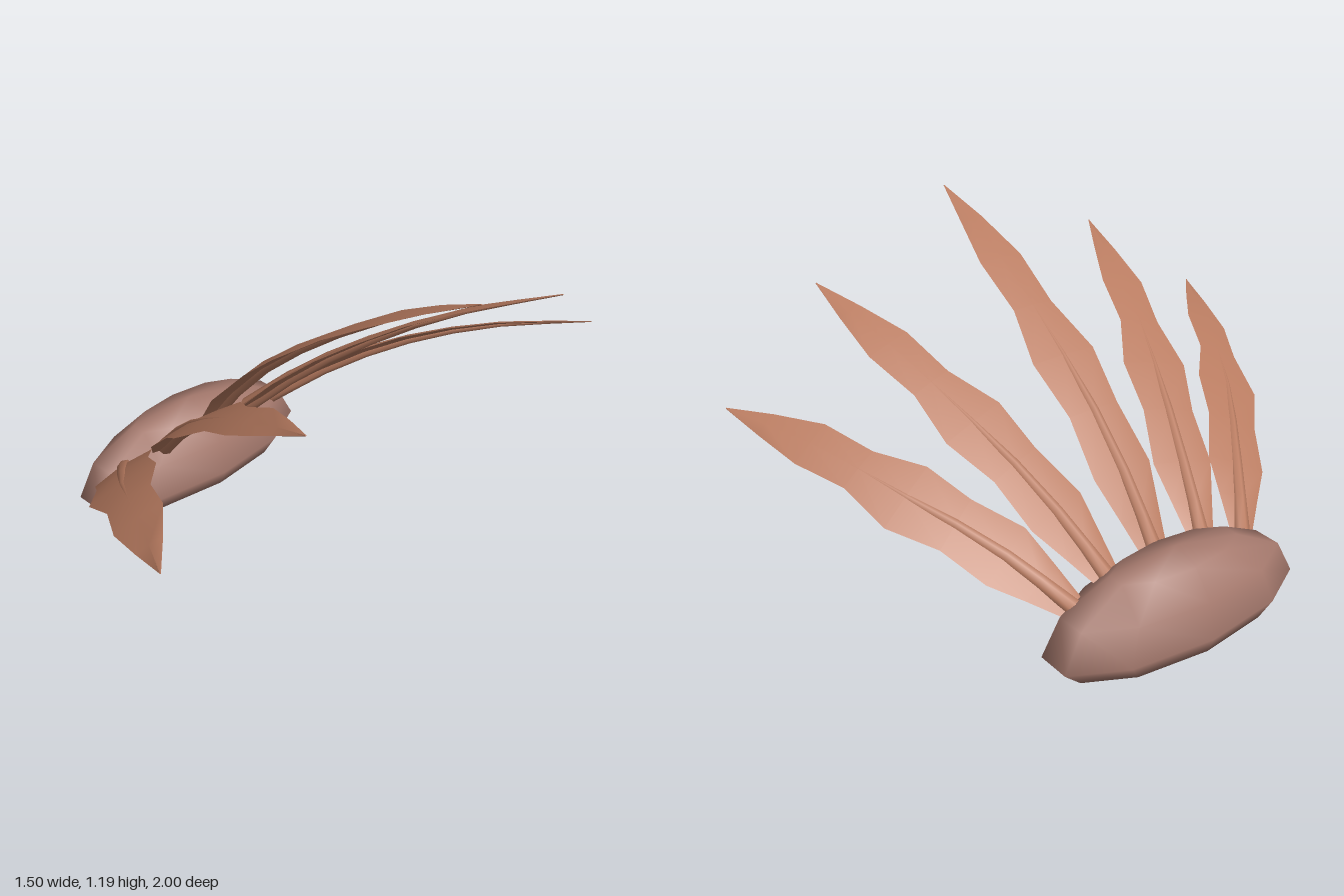
import * as THREE from 'three';
import { mergeVertices, toCreasedNormals } from 'three/addons/utils/BufferGeometryUtils.js';

const bodyMat = new THREE.MeshStandardMaterial({ name: 'mauve brown', color: 0xa5796d });
const leafMat = new THREE.MeshStandardMaterial({ name: 'terracotta', color: 0xb87b60 });

// Closed skin along a curve: stations are [u, half width, half thickness, drop below the curve]
function loft(curve, side, stations, sides) {
  const pos = [], idx = [];
  const offset = new THREE.Vector3();
  for (const [u, w, h, drop] of stations) {
    const p = curve.getPointAt(u), t = curve.getTangentAt(u);
    const across = side.clone().addScaledVector(t, -side.dot(t)).normalize();
    const up = across.clone().cross(t);
    for (let j = 0; j < sides; j++) {
      const a = (j / sides) * Math.PI * 2;
      offset.copy(p).addScaledVector(across, w * Math.cos(a)).addScaledVector(up, h * Math.sin(a) - drop);
      pos.push(offset.x, offset.y, offset.z);
    }
  }
  for (let i = 0; i < stations.length - 1; i++) {
    for (let j = 0; j < sides; j++) {
      const a = i * sides + j, b = i * sides + (j + 1) % sides;
      idx.push(a, a + sides, b, b, a + sides, b + sides);
    }
  }
  const end = (stations.length - 1) * sides;
  for (let j = 1; j < sides - 1; j++) {
    idx.push(0, j, j + 1, end, end + j + 1, end + j);
  }
  const g = new THREE.BufferGeometry();
  g.setAttribute('position', new THREE.Float32BufferAttribute(pos, 3));
  g.setIndex(idx);
  return toCreasedNormals(g, 0.9);
}

// Wavy outline of a blade: position along the length, half width
const outline = [[0, 0.045], [0.1, 0.08], [0.2, 0.116], [0.34, 0.1], [0.475, 0.125],
  [0.61, 0.078], [0.75, 0.084], [0.88, 0.045], [1, 0.002]];

function frond(points, side) {
  const curve = new THREE.CatmullRomCurve3(points.map(p => new THREE.Vector3(...p)));
  const group = new THREE.Group();
  const blade = new THREE.Mesh(
    loft(curve, side, outline.map(([u, w]) => [u, w, 0.011 * (1 - u) + 0.002, 0]), 4), leafMat);
  blade.name = 'blade';
  // Tapered midrib, showing mostly on the underside
  const ribStations = outline.map(([u]) => {
    const r = 0.029 * (1 - u) + 0.002;
    return [u, r, r, 0.014 * u * (1 - u) * 2];
  });
  const rib = new THREE.Mesh(loft(curve, side, ribStations, 8), leafMat);
  rib.name = 'midrib';
  group.add(blade, rib);
  return group;
}

export function createModel() {
  const model = new THREE.Group();

  // Oval mound with a flat underside
  const g = new THREE.SphereGeometry(1, 10, 6);
  g.deleteAttribute('uv');
  g.deleteAttribute('normal');
  g.scale(0.196, 0.25, 0.51);
  g.translate(-0.568, 0.06, 0);
  const p = g.attributes.position;
  for (let i = 0; i < p.count; i++) p.setY(i, Math.max(0, p.getY(i)));
  const moundGeometry = mergeVertices(g);
  moundGeometry.computeVertexNormals();
  const mound = new THREE.Mesh(moundGeometry, bodyMat);
  mound.name = 'mound';
  model.add(mound);

  // Middle frond
  const middle = frond([[-0.49, 0.21, 0], [-0.24, 0.53, 0], [0, 0.745, 0], [0.27, 0.935, 0],
    [0.53, 1.085, 0], [0.74, 1.185, 0]], new THREE.Vector3(0, 0, 1));
  middle.name = 'middleFrond';
  model.add(middle);

  // Mirrored pairs of fronds, fanned out and rolled outward
  const pairs = [
    ['innerFrond', [-0.25, -0.25, 0.93], [[-0.49, 0.205, 0.195], [-0.24, 0.455, 0.29],
      [0, 0.64, 0.385], [0.28, 0.81, 0.485], [0.635, 0.97, 0.585]]],
    ['outerFrond', [-0.33, -0.43, 0.84], [[-0.505, 0.19, 0.36], [-0.3, 0.365, 0.515],
      [-0.07, 0.5, 0.685], [0.2, 0.605, 0.835], [0.51, 0.67, 0.998]]],
  ];
  for (const [name, [a, b, c], path] of pairs) {
    for (const s of [1, -1]) {
      const f = frond(path.map(([x, y, z]) => [x, y, s * z]), new THREE.Vector3(s * a, s * b, c));
      f.name = name + (s > 0 ? 'Front' : 'Back');
      model.add(f);
    }
  }
  return model;
}
